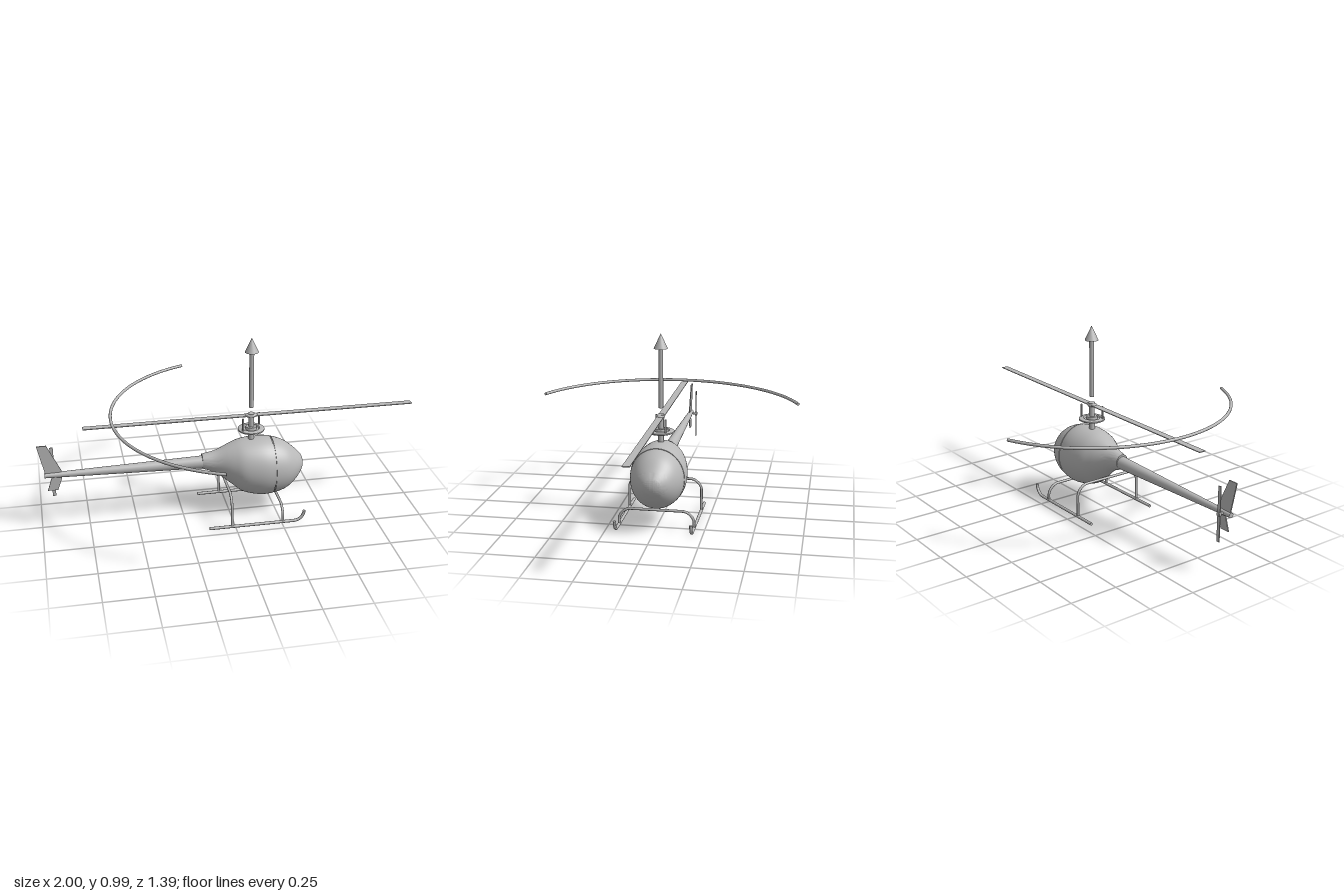
import * as THREE from 'three';
import { toCreasedNormals } from 'three/addons/utils/BufferGeometryUtils.js';

const V = (x, y, z = 0) => new THREE.Vector3(x, y, z);
const MAST_X = 0.12;

export function createModel() {
  const model = new THREE.Group();
  model.name = 'helicopter';
  const grey = new THREE.MeshStandardMaterial({ color: 0xb8b8b8 });
  grey.name = 'plain grey';

  const add = (name, geo, x = 0, y = 0, z = 0, parent = model) => {
    const mesh = new THREE.Mesh(geo, grey);
    mesh.name = name;
    mesh.position.set(x, y, z);
    parent.add(mesh);
    return mesh;
  };

  // Round bar along a curve, closed with a disc at each end
  const bar = (name, curve, radius, steps, parent = model) => {
    const group = new THREE.Group();
    group.name = name;
    parent.add(group);
    add(name + 'Tube', new THREE.TubeGeometry(curve, steps, radius, 12), 0, 0, 0, group);
    for (const t of [0, 1]) {
      const p = curve.getPoint(t);
      const cap = add(name + 'Cap', new THREE.CircleGeometry(radius, 12), p.x, p.y, p.z, group);
      cap.quaternion.setFromUnitVectors(V(0, 0, 1), curve.getTangent(t).multiplyScalar(t ? 1 : -1));
    }
  };

  // Fuselage stations: x, top, bottom, half width
  const stations = [
    [-0.145, 0.355, 0.275, 0.036], [-0.07, 0.37, 0.24, 0.055], [0.01, 0.402, 0.175, 0.1],
    [0.07, 0.42, 0.127, 0.13], [0.16, 0.427, 0.102, 0.145], [0.23, 0.418, 0.104, 0.141],
    [0.3, 0.391, 0.124, 0.122], [0.355, 0.347, 0.168, 0.088], [0.39, 0.31, 0.217, 0.05],
    [0.401, 0.288, 0.242, 0.025], [0.405, 0.265, 0.265, 0],
  ];
  const heights = new THREE.CatmullRomCurve3(stations.map(s => V(s[0], s[1], s[2])), false, 'catmullrom', 0.5);
  const widths = new THREE.CatmullRomCurve3(stations.map(s => V(s[0], s[3])), false, 'catmullrom', 0.5);
  const station = (t, scale = 1) => {
    const h = heights.getPoint(t);
    return { x: h.x, y: (h.y + h.z) / 2, ry: scale * (h.y - h.z) / 2, rz: scale * widths.getPoint(t).y };
  };

  // Skin elliptical rings that follow one another along x
  const loft = (rings, sides = 48) => {
    const pos = [], index = [];
    rings.forEach((r, i) => {
      for (let j = 0; j <= sides; j++) {
        const a = (j / sides) * Math.PI * 2;
        pos.push(r.x, r.y + r.ry * Math.cos(a), r.rz * Math.sin(a));
        if (i < rings.length - 1 && j < sides) {
          const p = i * (sides + 1) + j, q = p + sides + 1;
          index.push(p, p + 1, q, p + 1, q + 1, q);
        }
      }
    });
    const geo = new THREE.BufferGeometry();
    geo.setAttribute('position', new THREE.Float32BufferAttribute(pos, 3));
    geo.setIndex(index);
    return toCreasedNormals(geo, 0.7);
  };
  const span = (t0, t1, n) => Array.from({ length: n + 1 }, (_, i) => station(t0 + (t1 - t0) * i / n));

  // Fuselage in two shells with a narrow groove between them
  add('rearBody', loft([station(0, 0), ...span(0, 0.496, 28), station(0.496, 0.95)]));
  add('noseShell', loft([station(0.504, 0.95), ...span(0.504, 1, 32)]));
  add('bodySeam', loft([station(0.49, 0.965), station(0.51, 0.965)]));

  // Tapered tail boom
  const boom = add('tailBoom', new THREE.CylinderGeometry(0.013, 0.034, 0.83, 24), -0.555, 0.31);
  boom.rotation.z = Math.PI / 2;

  // Swept tail fin
  const fin = new THREE.Shape([
    [-1, 0.48], [-0.95, 0.48], [-0.88, 0.33], [-0.88, 0.29],
    [-0.905, 0.222], [-0.957, 0.222], [-0.933, 0.297], [-0.965, 0.32],
  ].map(p => new THREE.Vector2(...p)));
  add('tailFin', new THREE.ExtrudeGeometry(fin, { depth: 0.006, bevelEnabled: false }), 0, 0, -0.003);

  // Tail rotor on a short shaft
  const tailShaft = add('tailRotorShaft', new THREE.CylinderGeometry(0.006, 0.006, 0.045, 12), -0.925, 0.31, -0.02);
  tailShaft.rotation.x = Math.PI / 2;
  const tailHub = add('tailRotorHub', new THREE.CylinderGeometry(0.012, 0.012, 0.012, 16), -0.925, 0.31, -0.035);
  tailHub.rotation.x = Math.PI / 2;
  add('tailRotorBlade', new THREE.BoxGeometry(0.018, 0.28, 0.004), -0.925, 0.31, -0.035);

  // Mast, control ring and link rods
  add('mast', new THREE.CylinderGeometry(0.015, 0.015, 0.17, 24), MAST_X, 0.475);
  const ringProfile = [
    [0.014, 0.473], [0.062, 0.473], [0.07, 0.477], [0.07, 0.484], [0.062, 0.488],
    [0.045, 0.488], [0.04, 0.481], [0.03, 0.481], [0.028, 0.496], [0.014, 0.496],
  ].map(p => new THREE.Vector2(...p));
  add('controlRing', toCreasedNormals(new THREE.LatheGeometry(ringProfile, 40), 0.5), MAST_X);
  for (const s of [-1, 1]) {
    add('linkRod', new THREE.CylinderGeometry(0.005, 0.005, 0.075, 12), MAST_X + s * 0.05, 0.518, -s * 0.033);
  }

  // Main rotor
  const hub = add('rotorHub', new THREE.SphereGeometry(1, 24, 12), MAST_X, 0.56);
  hub.scale.set(0.035, 0.012, 0.022);
  add('hubCap', new THREE.CylinderGeometry(0.018, 0.018, 0.022, 24), MAST_X, 0.56);
  add('mainRotorBlade', new THREE.BoxGeometry(1.76, 0.004, 0.036), MAST_X, 0.56);

  // Upright arrow above the mast
  add('arrowShaft', new THREE.CylinderGeometry(0.0125, 0.0125, 0.315, 24), MAST_X, 0.7625);
  add('arrowHead', new THREE.ConeGeometry(0.036, 0.077, 32), MAST_X, 0.9515);

  // Curved rod sweeping around the tail side
  class Sweep extends THREE.Curve {
    getPoint(t, target = new THREE.Vector3()) {
      const a = THREE.MathUtils.degToRad(111 + 138 * t);
      return target.set(MAST_X + 0.734 * Math.cos(a), 0.588, 0.734 * Math.sin(a));
    }
  }
  bar('curvedRod', new Sweep(), 0.008, 80);

  // Landing skids with upturned toes
  for (const s of [-1, 1]) {
    const z = s * 0.195, skid = new THREE.CurvePath();
    skid.add(new THREE.LineCurve3(V(-0.14, 0.013, z), V(0.315, 0.013, z)));
    skid.add(new THREE.CubicBezierCurve3(V(0.315, 0.013, z), V(0.345, 0.013, z), V(0.368, 0.035, z), V(0.37, 0.068, z)));
    bar('skid', skid, 0.008, 60);
  }

  // Arched cross legs: x and height
  for (const [x, y] of [[-0.02, 0.187], [0.255, 0.1]]) {
    const leg = new THREE.CurvePath(), w = 0.195, r = 0.06;
    leg.add(new THREE.LineCurve3(V(x, 0.013, -w), V(x, y - r, -w)));
    leg.add(new THREE.CubicBezierCurve3(V(x, y - r, -w), V(x, y - r * 0.45, -w), V(x, y, -w + r * 0.55), V(x, y, -w + r)));
    leg.add(new THREE.LineCurve3(V(x, y, -w + r), V(x, y, w - r)));
    leg.add(new THREE.CubicBezierCurve3(V(x, y, w - r), V(x, y, w - r * 0.55), V(x, y - r * 0.45, w), V(x, y - r, w)));
    leg.add(new THREE.LineCurve3(V(x, y - r, w), V(x, 0.013, w)));
    bar('crossLeg', leg, 0.007, 80);
  }

  // Rest the skids on the ground
  model.position.y = -0.005;
  return model;
}
